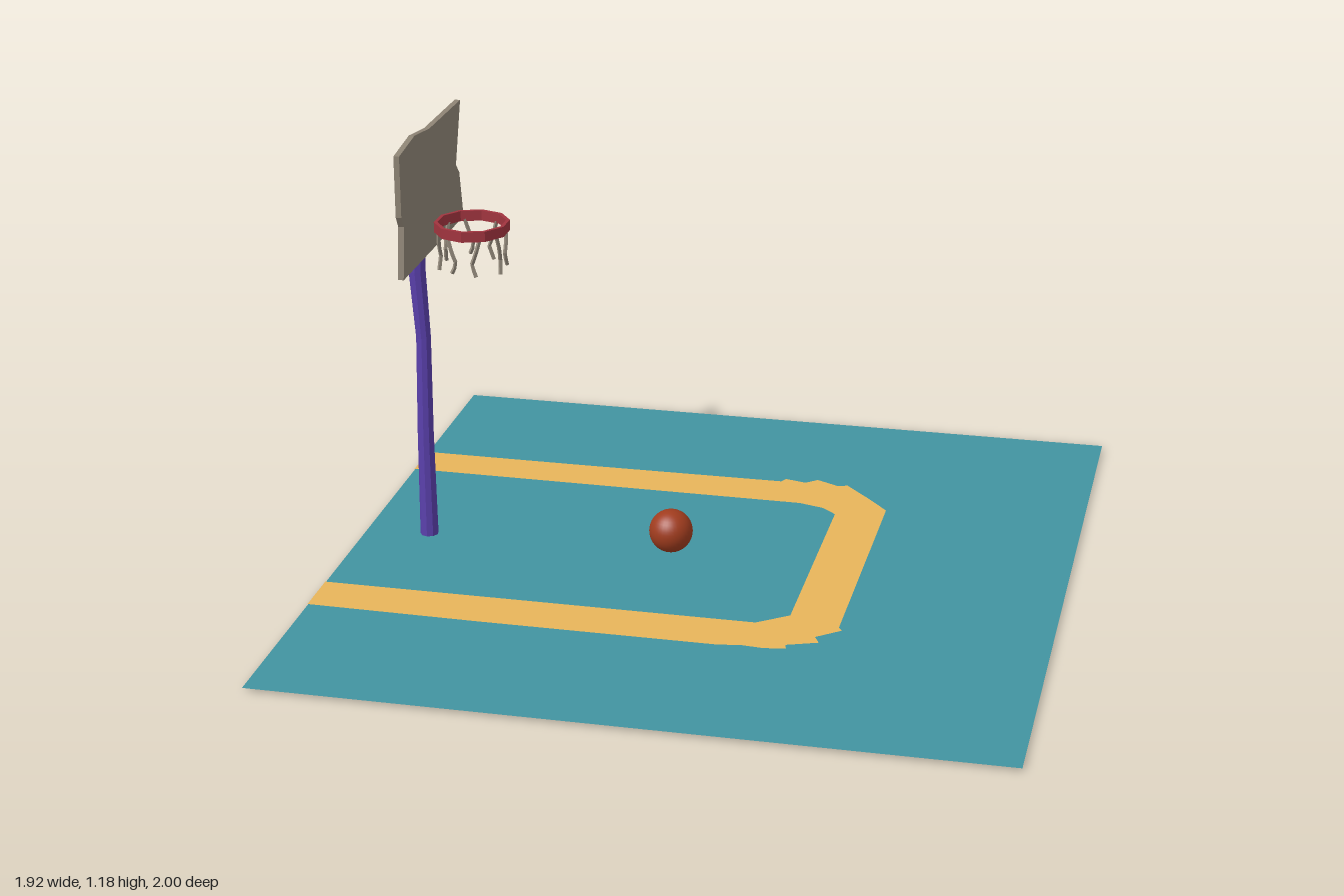
import * as THREE from 'three';

const mat = (name, color, opts = {}) => {
  const m = new THREE.MeshStandardMaterial({ color, ...opts });
  m.name = name;
  return m;
};

const toShape = (pts) => new THREE.Shape(pts.map(([x, y]) => new THREE.Vector2(x, y)));

export function createModel() {
  const group = new THREE.Group();
  const teal = mat('courtTeal', 0x4294a0, { side: THREE.DoubleSide });
  const tan = mat('lineTan', 0xebb85c);
  const orange = mat('underOrange', 0xe1781c);
  const red = mat('underRed', 0xe01c28);
  const purple = mat('polePurple', 0x5a40ac, { flatShading: true });
  const gray = mat('boardGray', 0x8e8475, { flatShading: true });
  const rimRed = mat('rimRed', 0xa0343e, { flatShading: true });
  const netGray = mat('netGray', 0x968c7e, { flatShading: true });
  const ballOrange = mat('ballOrange', 0xa03c1e);

  const add = (name, geo, material, x = 0, y = 0, z = 0) => {
    const mesh = new THREE.Mesh(geo, material);
    mesh.name = name;
    mesh.position.set(x, y, z);
    group.add(mesh);
    return mesh;
  };

  // Court floor
  const floorY = 0.008;
  add('courtFloor', new THREE.PlaneGeometry(1.92, 2).rotateX(-Math.PI / 2), teal, 0, floorY, 0);

  // Painted U-shaped line with ragged corners, points as [x, z]
  const line = [
    [-0.96, -0.53], [-0.5, -0.53], [0.09, -0.535], [0.1, -0.555], [0.16, -0.54], [0.19, -0.567],
    [0.255, -0.535], [0.28, -0.545], [0.35, -0.47], [0.415, -0.395], [0.415, 0.365], [0.425, 0.38],
    [0.365, 0.43], [0.38, 0.46], [0.3, 0.49], [0.305, 0.51], [0.25, 0.52], [0.19, 0.515],
    [0.13, 0.525], [-0.5, 0.525], [-0.96, 0.52],
    [-0.96, 0.38], [0.2, 0.38], [0.28, 0.32], [0.28, -0.34], [0.24, -0.375], [0.17, -0.395], [-0.96, -0.4],
  ];
  add('paintedLine',
    new THREE.ShapeGeometry(toShape(line.map(([x, z]) => [x, -z]))).rotateX(-Math.PI / 2),
    tan, 0, floorY + 0.003, 0);

  // Narrow strips facing down on the underside of the court
  const strip = (name, [x1, z1], [x2, z2], width, material) => {
    const length = Math.hypot(x2 - x1, z2 - z1);
    const mesh = add(name, new THREE.PlaneGeometry(length, width).rotateX(Math.PI / 2), material,
      (x1 + x2) / 2, floorY - 0.004, (z1 + z2) / 2);
    mesh.rotation.y = -Math.atan2(z2 - z1, x2 - x1);
  };
  strip('underEndStrip', [0.35, -0.38], [0.35, 0.38], 0.09, red);
  for (const s of [-1, 1]) {
    strip('underSideStrip', [-0.96, s * 0.45], [0.14, s * 0.45], 0.075, orange);
    const corner = [[0.14, 0.455], [0.23, 0.455], [0.31, 0.425], [0.35, 0.365]];
    for (let i = 0; i < 3; i++) {
      strip('underCornerStrip', [corner[i][0], s * corner[i][1]],
        [corner[i + 1][0], s * corner[i + 1][1]], 0.04, red);
    }
  }

  // Hollow pole, bent by shifting each height ring sideways
  const bends = [[0, -0.786, 0.014], [0.3, -0.786, 0.016], [0.58, -0.784, 0.011],
    [0.77, -0.794, 0.015], [0.917, -0.79, 0.014]];
  const outer = bends.map(([y], i) => new THREE.Vector2([0.025, 0.022, 0.02, 0.023, 0.024][i], y));
  const inner = bends.map(([y]) => new THREE.Vector2(0.013, y)).reverse();
  const poleGeo = new THREE.LatheGeometry([...outer, ...inner, outer[0].clone()], 9);
  const p = poleGeo.attributes.position;
  for (let i = 0; i < p.count; i++) {
    const b = bends.find(([y]) => Math.abs(y - p.getY(i)) < 1e-4);
    p.setX(i, p.getX(i) + b[1]);
    p.setZ(i, p.getZ(i) + b[2]);
  }
  add('pole', poleGeo, purple);

  // Crooked backboard, outline as [z, y]
  const board = [[0.267, 0.832], [0.25, 0.97], [0.267, 1.0], [0.267, 1.163], [0.136, 1.18],
    [0.01, 1.163], [-0.267, 1.163], [-0.212, 0.997], [-0.24, 0.968], [-0.267, 0.834]];
  add('backboard',
    new THREE.ExtrudeGeometry(toShape(board), { depth: 0.015, bevelEnabled: false }).rotateY(-Math.PI / 2),
    gray, -0.748, 0, 0);

  // Ten-sided rim band
  const rimX = -0.643;
  const rimProfile = [[0.09, 0.886], [0.1, 0.886], [0.1, 0.914], [0.09, 0.914], [0.09, 0.886]];
  add('rim', new THREE.LatheGeometry(rimProfile.map(([r, y]) => new THREE.Vector2(r, y)), 10),
    rimRed, rimX, 0, 0);

  // Eight kinked net strands
  const net = new THREE.Group();
  net.name = 'net';
  group.add(net);
  for (let i = 0; i < 8; i++) {
    const a = (i + 0.5) * Math.PI / 4;
    const at = (r, turn, y) => new THREE.Vector3(rimX + r * Math.cos(a + turn), y, r * Math.sin(a + turn));
    const k = i % 2 ? 1 : -1;
    const path = new THREE.CatmullRomCurve3([
      at(0.09, -0.12 * k, 0.892), at(0.089, 0.02 * k, 0.85),
      at(0.084, 0.14 * k, 0.82), at(0.09, 0.02 * k, 0.782 + 0.006 * (i % 3)),
    ], false, 'catmullrom', 0);
    const strand = new THREE.Mesh(new THREE.TubeGeometry(path, 6, 0.0055, 4), netGray);
    strand.name = 'netStrand';
    net.add(strand);
  }

  // Ball
  add('ball', new THREE.SphereGeometry(0.059, 32, 20), ballOrange, -0.113, 0.066, -0.016);

  return group;
}
